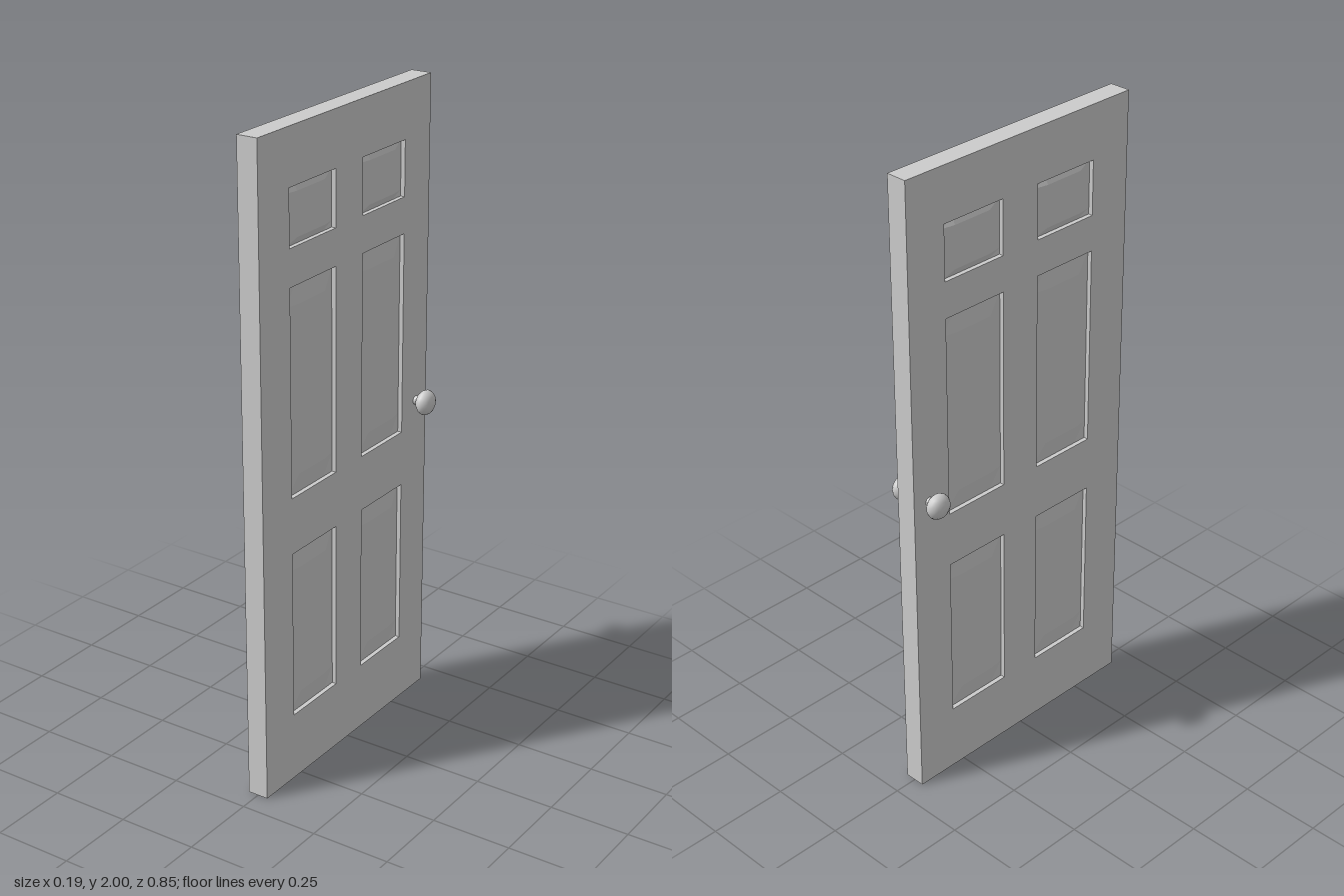
import * as THREE from 'three';

const HALF_X = 0.033, HALF_Z = 0.427, HEIGHT = 2;
const FIELD_X = 0.019;  // half thickness at the bottom of a panel recess
const RAISED_X = 0.027; // half thickness at the raised centre of a panel

// panel columns as [z min, z max]; rows as [y min, y max, bevel height]
const COLUMNS = [[0.064, 0.286], [-0.292, -0.072]];
const ROWS = [[0.215, 0.745, 0.06], [0.92, 1.55, 0.06], [1.662, 1.832, 0.02]];
const BEVEL_Z = 0.045;

const material = () => new THREE.MeshStandardMaterial({ color: 0xcccccc });

function named(geometry, name) {
  const mesh = new THREE.Mesh(geometry, material());
  mesh.name = name;
  return mesh;
}

// rectangle drawn with shape x = -z
function rectangle(path, z0, z1, y0, y1) {
  path.moveTo(-z1, y0);
  path.lineTo(-z0, y0);
  path.lineTo(-z0, y1);
  path.lineTo(-z1, y1);
  path.closePath();
  return path;
}

// slab with one opening per panel
function frameGeometry() {
  const shape = rectangle(new THREE.Shape(), -HALF_Z, HALF_Z, 0, HEIGHT);
  for (const [z0, z1] of COLUMNS) {
    for (const [y0, y1] of ROWS) {
      shape.holes.push(rectangle(new THREE.Path(), z0, z1, y0, y1));
    }
  }
  const geometry = new THREE.ExtrudeGeometry(shape, { depth: 2 * HALF_X, bevelEnabled: false });
  return geometry.translate(0, 0, -HALF_X).rotateY(Math.PI / 2);
}

// box split in thirds, its middle cells raised to make a bevelled field on both faces
function panelGeometry(width, height, bevelY) {
  const box = new THREE.BoxGeometry(2, 3, 3, 1, 3, 3);
  const p = box.attributes.position;
  const place = (v, half, bevel) => Math.sign(v) * (Math.abs(v) > 1 ? half : half - bevel);
  for (let i = 0; i < p.count; i++) {
    const x = p.getX(i), y = p.getY(i), z = p.getZ(i);
    const inner = Math.abs(y) < 1 && Math.abs(z) < 1;
    p.setXYZ(i, x * (inner ? RAISED_X : FIELD_X),
      place(y, height / 2, bevelY), place(z, width / 2, BEVEL_Z));
  }
  const flat = box.toNonIndexed();
  flat.computeVertexNormals();
  return flat;
}

// stem and flattened round knob, pointing along +x
function makeKnob(name) {
  const group = new THREE.Group();
  group.name = name;
  const stem = new THREE.CylinderGeometry(0.012, 0.014, 0.022, 16);
  stem.rotateZ(-Math.PI / 2).translate(HALF_X + 0.009, 0, 0);
  group.add(named(stem, 'knobStem'));
  const profile = [
    [0, 0.046], [0.018, 0.046], [0.027, 0.050], [0.036, 0.059], [0.0395, 0.069],
    [0.038, 0.077], [0.032, 0.086], [0.022, 0.092], [0.011, 0.095], [0, 0.096],
  ].map(([r, x]) => new THREE.Vector2(r, x));
  group.add(named(new THREE.LatheGeometry(profile, 20).rotateZ(-Math.PI / 2), 'knobHead'));
  return group;
}

export function createModel() {
  const door = new THREE.Group();
  door.name = 'door';
  door.add(named(frameGeometry(), 'doorFrame'));

  // raised panels
  for (const [z0, z1] of COLUMNS) {
    for (const [y0, y1, bevel] of ROWS) {
      const panel = named(panelGeometry(z1 - z0, y1 - y0, bevel), 'raisedPanel');
      panel.position.set(0, (y0 + y1) / 2, (z0 + z1) / 2);
      door.add(panel);
    }
  }

  // a knob on each face
  for (const side of [1, -1]) {
    const knob = makeKnob(side > 0 ? 'leftKnob' : 'rightKnob');
    knob.position.set(0, 1, -0.369);
    if (side < 0) knob.rotation.y = Math.PI;
    door.add(knob);
  }
  return door;
}
